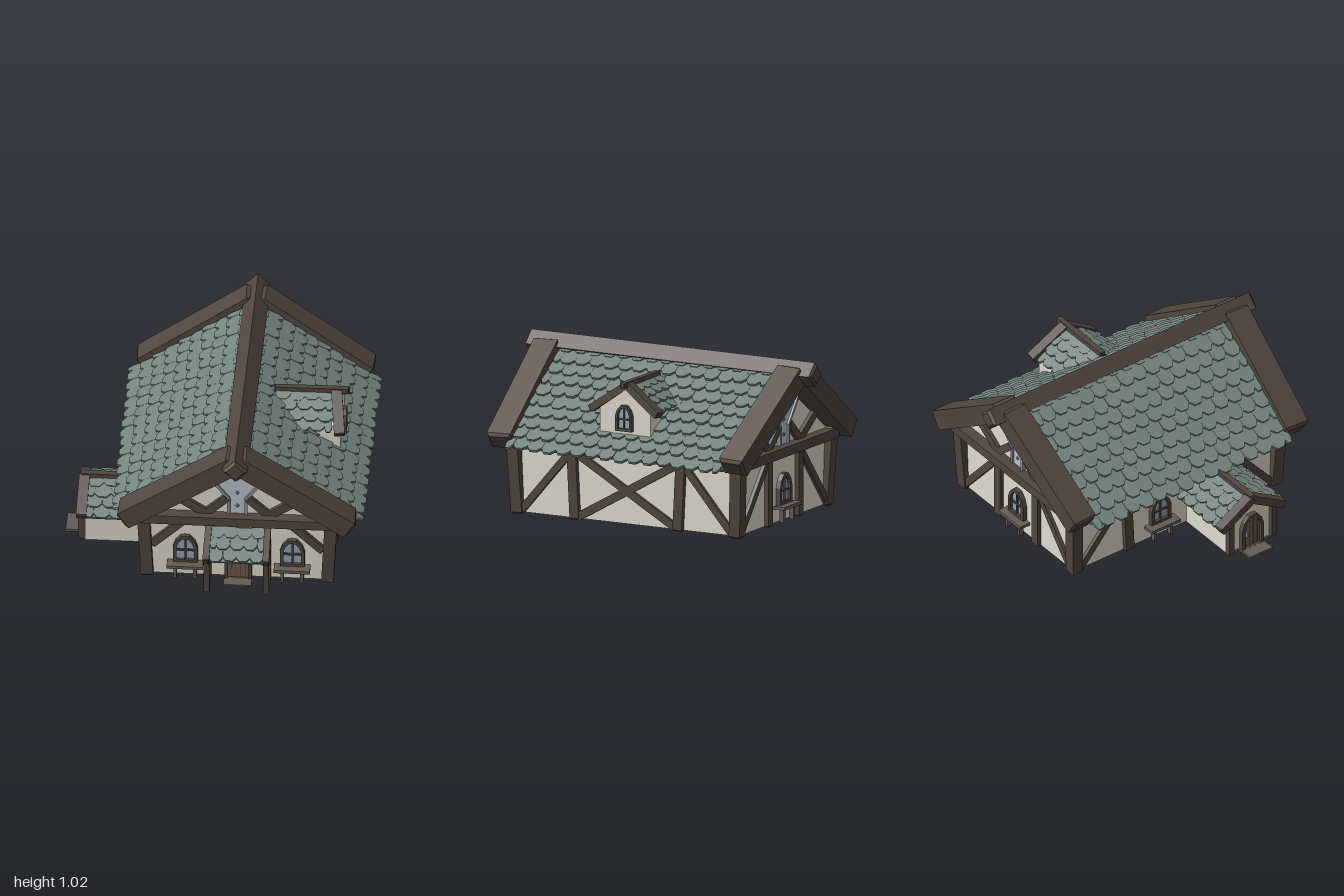
import * as THREE from 'three';
import { mergeGeometries } from 'three/addons/utils/BufferGeometryUtils.js';

const mat = (color) => new THREE.MeshStandardMaterial({ color, flatShading: true, side: THREE.DoubleSide });
const wood = mat(0x51463f), plaster = mat(0xe0ddd0), slate = mat(0x74857e), plank = mat(0x6e5a4e),
  glass = mat(0x93a5b8), trim = mat(0x8b9397), panelBlue = mat(0xbac6cc), gemBlue = mat(0x6683d0), bench = mat(0x655c56);
const V = (x, y, z) => new THREE.Vector3(x, y, z);

let seed = 7;
const rand = () => ((seed = (seed * 16807) % 2147483647) / 2147483647) - 0.5;

function add(parent, name, geometry, material, x = 0, y = 0, z = 0) {
  const m = new THREE.Mesh(geometry, material);
  m.name = name;
  m.position.set(x, y, z);
  parent.add(m);
  return m;
}

function polygon(pts) {
  return new THREE.Shape(pts.map(([x, y]) => new THREE.Vector2(x, y)));
}

function prism(shape, depth) {
  return new THREE.ExtrudeGeometry(shape, { depth, bevelEnabled: false, curveSegments: 6 });
}

// Chamfered timber from a to b: w across, d along the facing direction
function beam(parent, name, a, b, w, d, face = V(0, 0, 1), material = wood) {
  const c = Math.min(w, d) * 0.14, len = a.distanceTo(b), hw = w / 2 - c, hd = d / 2 - c;
  const g = new THREE.ExtrudeGeometry(polygon([[-hw, -hd], [hw, -hd], [hw, hd], [-hw, hd]]),
    { depth: len - 2 * c, bevelSize: c, bevelThickness: c, bevelSegments: 1 });
  g.translate(0, 0, c);
  const axis = b.clone().sub(a).normalize();
  const fy = face.clone().addScaledVector(axis, -face.dot(axis)).normalize();
  g.applyMatrix4(new THREE.Matrix4().makeBasis(fy.clone().cross(axis), fy, axis));
  return add(parent, name, g, material, a.x, a.y, a.z);
}

// One roof pitch: overlapping shingles with clipped corners over a deck
function roofPitch(parent, name, top, out, angle, length, slope, rows, cols, keep = () => true, deck = true) {
  const d = out.clone().multiplyScalar(Math.cos(angle)).add(V(0, -Math.sin(angle), 0));
  const n = out.clone().multiplyScalar(Math.sin(angle)).add(V(0, Math.cos(angle), 0));
  const up = d.clone().negate(), basis = new THREE.Matrix4().makeBasis(up.clone().cross(n), up, n).setPosition(top);
  const step = slope / rows, w = length / cols, tilt = -0.013 / step;
  for (let r = 0, tiles = []; r < rows; r++) {
    // The first row is cut off at the ridge
    const s = (r + 1) * step, L = Math.min(step * 1.6, s), odd = r % 2, count = cols + odd;
    const c = -L + step * 0.35;
    const shape = polygon([[-w / 2, 0], [-w / 2, c], [-w * 0.24, -L], [w * 0.24, -L], [w / 2, c], [w / 2, 0]]);
    for (let i = 0; i < count; i++) {
      // Half shingles close the staggered rows
      const half = odd && (i === 0 || i === count - 1), shift = half ? (i ? -w / 4 : w / 4) : 0;
      const x = (i - (count - 1) / 2) * w + shift;
      if (!keep(V(x, -s + step / 2, 0).applyMatrix4(basis))) continue;
      const g = prism(shape, 0.016).scale(half ? 0.5 : 1, 1, 1).rotateZ(rand() * 0.05).rotateX(tilt - rand() * 0.03);
      tiles.push(g.translate(x, L - s + rand() * step * 0.15, 0).applyMatrix4(basis));
    }
    if (r === rows - 1) add(parent, name + 'Shingles', mergeGeometries(tiles), slate);
  }
  if (deck) add(parent, name + 'Deck', new THREE.BoxGeometry(length, slope * 0.94, 0.02).translate(0, -slope * 0.47, -0.01).applyMatrix4(basis), slate);
}

// Tall, slightly pointed arch outline
function arch(w, h, base = 0) {
  const s = new THREE.Shape(), r = w / 2, rise = w * 0.58;
  s.moveTo(-r, base).lineTo(r, base).lineTo(r, h - rise);
  s.lineTo(r * 0.78, h - rise * 0.45).lineTo(r * 0.36, h - rise * 0.04).lineTo(0, h);
  s.lineTo(-r * 0.36, h - rise * 0.04).lineTo(-r * 0.78, h - rise * 0.45).lineTo(-r, h - rise);
  s.closePath();
  return s;
}

function placed(parent, name, x, y, z, turn = 0) {
  const g = new THREE.Group();
  g.name = name;
  g.position.set(x, y, z);
  g.rotation.y = turn;
  parent.add(g);
  return g;
}

// Arched frame around panes or planks
function opening(parent, name, w, h, t, isDoor) {
  const frame = arch(w, h);
  frame.holes.push(arch(w - 2 * t, h - t, isDoor ? 0.002 : t));
  add(parent, name + 'Frame', prism(frame, 0.03), wood);
  add(parent, name + (isDoor ? 'Leaf' : 'Glass'), prism(arch(w - t, h - t / 2), 0.012), isDoor ? plank : glass);
}

function windowAt(parent, x, y, z, turn, w, h, withBench) {
  const g = placed(parent, 'window', x, y, z, turn), t = w * 0.15;
  opening(g, 'window', w, h, t, false);
  add(g, 'mullion', new THREE.BoxGeometry(t * 0.5, h - t, 0.012), wood, 0, h / 2, 0.016);
  add(g, 'transom', new THREE.BoxGeometry(w - t, t * 0.5, 0.012), wood, 0, h * 0.45, 0.016);
  if (!withBench) return;
  add(g, 'benchSeat', new THREE.BoxGeometry(0.22, 0.02, 0.075), bench, 0, 0.115 - y, 0.04);
  for (const s of [-1, 1]) add(g, 'benchLeg', new THREE.BoxGeometry(0.02, 0.09, 0.03), bench, s * 0.06, 0.065 - y, 0.035);
}

function doorAt(parent, x, y, z, turn, w, h) {
  const g = placed(parent, 'door', x, y, z, turn);
  opening(g, 'door', w, h, 0.022, true);
  for (const i of [-1.5, -0.5, 0.5, 1.5])
    add(g, 'plankGap', new THREE.BoxGeometry(0.004, h * (Math.abs(i) > 1 ? 0.7 : 0.85), 0.004), wood, i * w * 0.18, h * (Math.abs(i) > 1 ? 0.36 : 0.43), 0.013);
  add(g, 'doorHandle', new THREE.BoxGeometry(0.01, 0.035, 0.02), trim, -w * 0.26, h * 0.4, 0.02);
}

// Timber gable with centre panel, shared by both ends
function gableEnd(g) {
  add(g, 'gableWall', prism(polygon([[-0.55, 0.02], [0.55, 0.02], [0.55, 0.54], [0, 0.93], [-0.55, 0.54]]), 0.07), plaster, 0, 0, 0.69);
  beam(g, 'tieBeam', V(-0.6, 0.46, 0.785), V(0.6, 0.46, 0.785), 0.06, 0.09);
  add(g, 'gablePanel', prism(polygon([[-0.05, 0.48], [0.05, 0.48], [0.05, 0.6], [0.16, 0.74], [0.16, 0.8], [0, 0.91], [-0.16, 0.8], [-0.16, 0.74], [-0.05, 0.6]]), 0.012), panelBlue, 0, 0, 0.757);
  [[0.76, 0.028], [0.645, 0.015], [0.55, 0.015]].forEach(([y, r]) =>
    add(g, 'gem', new THREE.OctahedronGeometry(r).scale(0.9, 1, 0.6), gemBlue, 0, y, 0.772));
  for (const s of [-1, 1]) {
    beam(g, 'bargeBoard', V(s * 0.01, 0.943, 0.84), V(s * 0.695, 0.468, 0.8), 0.125, 0.16);
    beam(g, 'panelTrim', V(s * 0.052, 0.48, 0.77), V(s * 0.052, 0.605, 0.77), 0.018, 0.025, V(0, 0, 1), trim);
    beam(g, 'panelTrim', V(s * 0.05, 0.6, 0.77), V(s * 0.17, 0.755, 0.77), 0.018, 0.025, V(0, 0, 1), trim);
    beam(g, 'gableBrace', V(s * 0.17, 0.475, 0.765), V(s * 0.39, 0.62, 0.765), 0.055, 0.04);
    beam(g, 'gableBrace', V(s * 0.2, 0.48, 0.765), V(s * 0.06, 0.61, 0.765), 0.05, 0.04);
    beam(g, 'cornerPost', V(s * 0.545, 0.012, 0.752), V(s * 0.57, 0.5, 0.775), 0.075, 0.075);
  }
}

// Posts and braces of a long wall; z runs along the wall, x faces out
function sideFrame(g, s, crossed) {
  const x = s * 0.555, face = V(1, 0, 0);
  add(g, 'sideWall', new THREE.BoxGeometry(0.07, 0.51, 1.4), plaster, s * 0.515, 0.275, 0);
  for (const e of [-1, 1]) {
    beam(g, 'sidePost', V(x, 0.015, e * 0.355), V(x, 0.51, e * 0.38), 0.062, 0.05, face);
    beam(g, 'sideBrace', V(x, 0.03, e * 0.73), V(x, 0.45, e * 0.37), 0.045, 0.035, face);
    if (crossed) beam(g, 'crossBrace', V(x, 0.03, e * 0.34), V(x, 0.43, -e * 0.36), 0.05, 0.032 + e * 0.004, face);
  }
}

export function createModel() {
  const root = new THREE.Group();
  root.name = 'cottage';
  const house = placed(root, 'house', 0.15, 0, 0);
  const angle = Math.atan(0.71);

  // Main walls and roof
  const front = placed(house, 'frontEnd', 0, 0, 0), back = placed(house, 'backEnd', 0, 0, 0, Math.PI);
  gableEnd(front);
  gableEnd(back);
  sideFrame(house, 1, true);
  sideFrame(house, -1, false);
  for (const s of [-1, 1]) {
    roofPitch(house, 'mainRoof', V(0, 0.955, 0), V(s, 0, 0), angle, 1.48, 0.915, 10, 15);
    beam(front, 'frontBrace', V(s * 0.52, 0.24, 0.765), V(s * 0.3, 0.45, 0.765), 0.05, 0.04);
    beam(back, 'backPost', V(s * 0.19, 0.015, 0.765), V(s * 0.19, 0.45, 0.765), 0.06, 0.045);
    beam(back, 'backBrace', V(s * 0.53, 0.04, 0.765), V(s * 0.2, 0.43, 0.765), 0.045, 0.035);
  }
  beam(house, 'ridgeBeam', V(0, 0.938, -1), V(0, 0.946, 0.985), 0.108, 0.108, V(1, 1, 0));

  // Windows and front door
  windowAt(house, -0.315, 0.12, 0.76, 0, 0.15, 0.195, true);
  windowAt(house, 0.333, 0.12, 0.76, 0, 0.15, 0.195, true);
  windowAt(house, 0, 0.12, -0.76, Math.PI, 0.15, 0.195, true);
  windowAt(house, -0.55, 0.12, -0.12, -Math.PI / 2, 0.15, 0.195, true);
  doorAt(house, 0.005, 0.02, 0.765, 0, 0.165, 0.235);
  add(house, 'frontStep', new THREE.BoxGeometry(0.17, 0.01, 0.08), bench, 0.005, 0.017, 0.82);

  // Porch
  const porch = placed(house, 'porch', 0.005, 0, 0);
  roofPitch(porch, 'porchRoof', V(0, 0.37, 0.765), V(0, 0, 1), 0.53, 0.33, 0.235, 3, 4);
  for (const s of [-1, 1]) {
    beam(porch, 'porchRafter', V(s * 0.178, 0.375, 0.76), V(s * 0.182, 0.272, 0.985), 0.04, 0.05, V(0, 1, 0));
    beam(porch, 'porchPost', V(s * 0.18, 0.013, 0.92), V(s * 0.18, 0.29, 0.94), 0.035, 0.035);
    beam(porch, 'porchWallPost', V(s * 0.18, 0.02, 0.78), V(s * 0.18, 0.36, 0.78), 0.035, 0.04);
  }

  // Dormer, local +z faces out of the roof
  const dormer = placed(house, 'dormer', 0, 0, 0, Math.PI / 2);
  add(dormer, 'dormerWall', prism(polygon([[-0.175, 0.54], [0.175, 0.54], [0.175, 0.74], [0, 0.86], [-0.175, 0.74]]), 0.24), plaster, 0, 0, 0.34);
  windowAt(dormer, 0, 0.6, 0.578, 0, 0.112, 0.16, false);
  beam(dormer, 'dormerRidge', V(0, 0.88, 0.17), V(0, 0.885, 0.62), 0.035, 0.035);
  for (const s of [-1, 1]) {
    roofPitch(dormer, 'dormerRoof', V(0, 0.862, 0.355), V(s, 0, 0), 0.62, 0.35, 0.265, 4, 4,
      (p) => p.y > 0.955 - 0.71 * p.z - 0.03, false);
    beam(dormer, 'dormerBarge', V(s * -0.005, 0.882, 0.545), V(s * 0.235, 0.715, 0.58), 0.045, 0.065);
  }

  // Side annex, local +z faces away from the house
  const annex = placed(house, 'annex', 0, 0, 0.265, -Math.PI / 2);
  add(annex, 'annexWall', prism(polygon([[-0.175, 0.015], [0.175, 0.015], [0.175, 0.24], [0, 0.34], [-0.175, 0.24]]), 0.41), plaster, 0, 0, 0.546);
  add(annex, 'annexFloor', new THREE.BoxGeometry(0.34, 0.012, 0.42), slate, 0, 0.01, 0.75);
  add(annex, 'annexStep', new THREE.BoxGeometry(0.17, 0.016, 0.12), bench, 0, 0.008, 1.01);
  doorAt(annex, 0, 0.015, 0.958, 0, 0.165, 0.235);
  beam(annex, 'annexRidge', V(0, 0.368, 0.55), V(0, 0.37, 0.985), 0.04, 0.035);
  for (const s of [-1, 1]) {
    roofPitch(annex, 'annexRoof', V(0, 0.35, 0.745), V(s, 0, 0), 0.54, 0.39, 0.282, 4, 4);
    beam(annex, 'annexBarge', V(s * -0.005, 0.364, 0.96), V(s * 0.24, 0.222, 0.965), 0.05, 0.065);
    beam(annex, 'annexPost', V(s * 0.16, 0.015, 0.965), V(s * 0.16, 0.27, 0.965), 0.035, 0.045);
  }
  return root;
}
